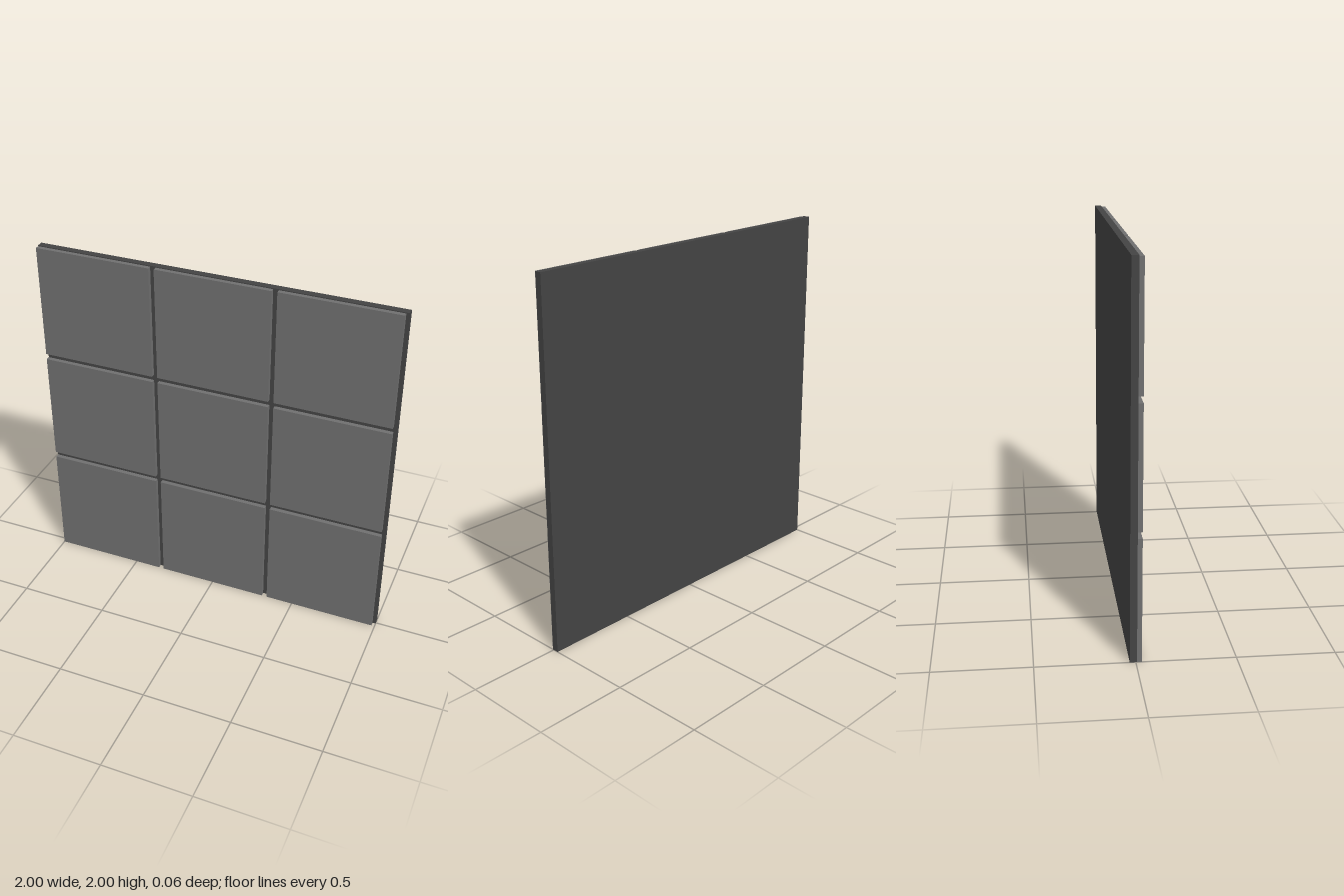
import * as THREE from 'three';

export function createModel() {
  const group = new THREE.Group();
  const backMaterial = new THREE.MeshStandardMaterial({ color: 0x444444 });
  const tileMaterial = new THREE.MeshStandardMaterial({ color: 0x707070 });

  // Box spanning the given limits on each axis
  function addBox(name, material, [x0, x1], [y0, y1], [z0, z1]) {
    const mesh = new THREE.Mesh(new THREE.BoxGeometry(x1 - x0, y1 - y0, z1 - z0), material);
    mesh.position.set((x0 + x1) / 2, (y0 + y1) / 2, (z0 + z1) / 2);
    mesh.name = name;
    group.add(mesh);
  }

  // Dark backing panel
  addBox('backingPanel', backMaterial, [-1, 1], [0, 2], [-0.03, 0.006]);

  // Three by three raised tiles with grooves between them
  const columns = [[-1, -0.35], [-0.32, 0.315], [0.345, 0.982]];
  const rows = [[0, 0.652], [0.685, 1.32], [1.353, 1.995]];
  rows.forEach((row, j) => columns.forEach((column, i) => {
    addBox(`tileRow${j + 1}Column${i + 1}`, tileMaterial, column, row, [0.006, 0.03]);
  }));

  return group;
}
